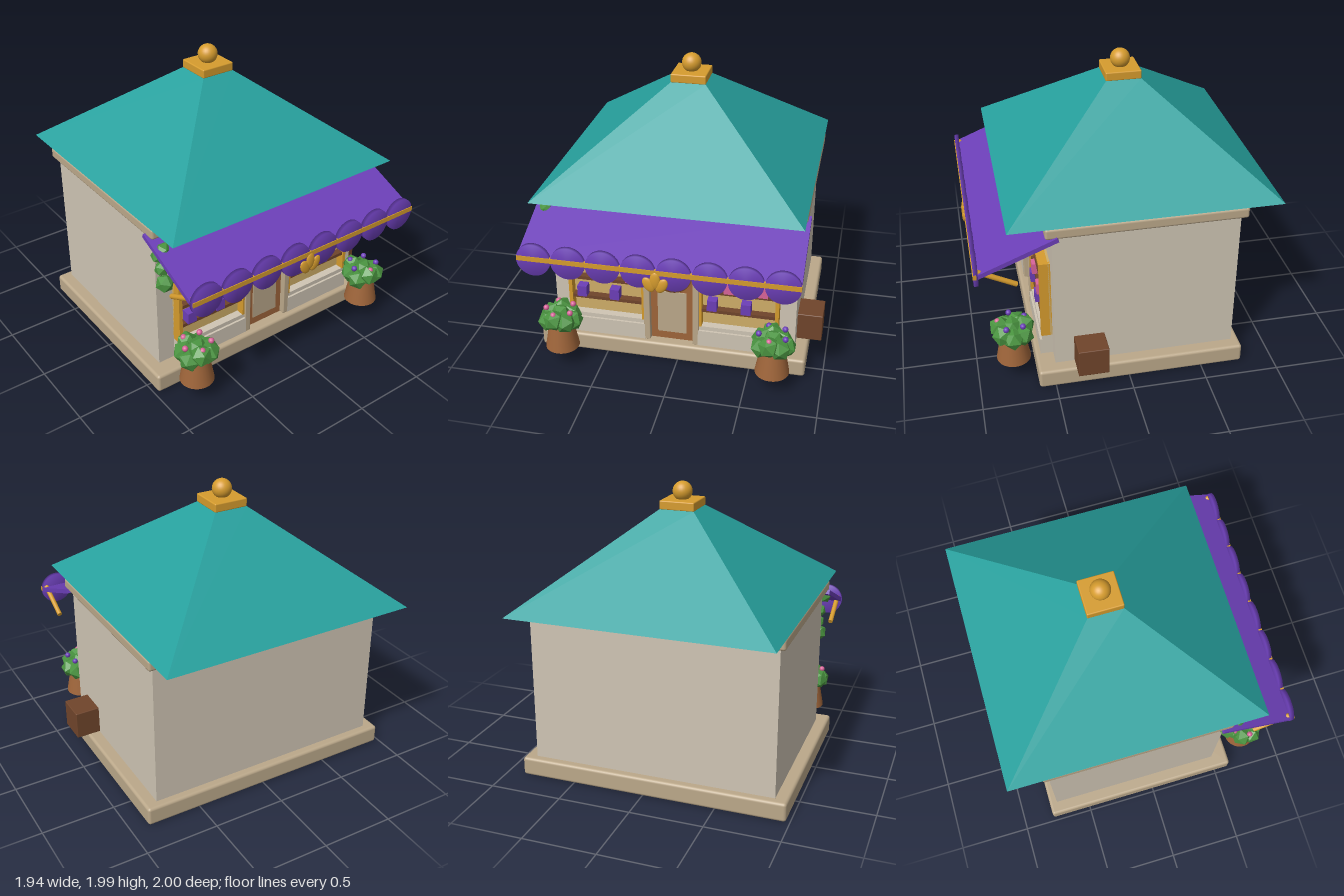
import * as THREE from 'three';
import { RoundedBoxGeometry } from 'three/addons/geometries/RoundedBoxGeometry.js';
import { mergeVertices } from 'three/addons/utils/BufferGeometryUtils.js';

const mat = (name, color) => {
  const m = new THREE.MeshStandardMaterial({ color });
  m.name = name;
  return m;
};

export function createModel() {
  const M = {
    teal: mat('teal roof', 0x26a09d),
    purple: mat('purple cloth', 0x6c3fb8),
    gold: mat('gold', 0xd69c2e),
    stone: mat('stone trim', 0xbba88a),
    wall: mat('plaster', 0xcfc5b4),
    wood: mat('warm wood', 0x9f653a),
    darkWood: mat('dark wood', 0x70452b),
    panel: mat('display backing', 0xd0ae68),
    leaf: mat('leaf green', 0x4a9440),
    pink: mat('pink', 0xd9649a),
  };
  const shop = new THREE.Group();
  shop.name = 'shop';
  const CX = -0.047; // centre line of the building

  const add = (name, geo, material, x, y, z, parent = shop) => {
    const mesh = new THREE.Mesh(geo, material);
    mesh.name = name;
    mesh.position.set(x, y, z);
    parent.add(mesh);
    return mesh;
  };
  // box given by its limits on each axis, with optional rounded edges
  const box = (name, material, [x0, x1], [y0, y1], [z0, z1], r = 0) => {
    const s = [x1 - x0, y1 - y0, z1 - z0];
    const geo = r ? new RoundedBoxGeometry(...s, 3, r) : new THREE.BoxGeometry(...s);
    return add(name, geo, material, (x0 + x1) / 2, (y0 + y1) / 2, (z0 + z1) / 2);
  };
  // disc facing +z with softly shaded rim
  const disc = (r, depth) => {
    const g = new THREE.CylinderGeometry(r, r, depth, 40).rotateX(Math.PI / 2);
    g.deleteAttribute('normal');
    g.deleteAttribute('uv');
    const m = mergeVertices(g);
    m.computeVertexNormals();
    return m;
  };

  // Building body
  box('base', M.stone, [-0.975, 0.88], [0, 0.13], [-0.785, 0.61], 0.02);
  box('walls', M.wall, [-0.89, 0.795], [0.13, 1.15], [-0.73, 0.49]);
  box('cornice', M.stone, [-0.93, 0.837], [1.14, 1.217], [-0.77, 0.535], 0.018);

  // Roof: four-sided truncated pyramid with cap and ball
  const roof = new THREE.CylinderGeometry(0.118 * Math.SQRT2, 0.884 * Math.SQRT2, 0.595, 4)
    .rotateY(Math.PI / 4).toNonIndexed();
  roof.computeVertexNormals();
  add('roof', roof, M.teal, CX, 1.515, -0.117);
  box('roofCap', M.gold, [CX - 0.12, CX + 0.12], [1.81, 1.87], [-0.237, 0.003], 0.008);
  add('roofBall', new THREE.SphereGeometry(0.066, 28, 18), M.gold, CX, 1.92, -0.117);

  // Awning with scalloped edge, gold band and rods
  const awning = add('awning', new THREE.BoxGeometry(1.8, 0.03, 0.55), M.purple, CX, 1.042, 0.71);
  awning.rotation.x = 0.39;
  for (let i = 0; i < 8; i++) {
    add('scallop', disc(0.111, 0.028), M.purple, CX + (i - 3.5) * 0.226, 0.932, 0.969);
  }
  box('awningBand', M.gold, [-0.945, 0.855], [0.925, 0.958], [0.965, 0.988]);
  for (const x of [CX - 0.87, CX + 0.87]) {
    const rod = add('awningRod', new THREE.CylinderGeometry(0.017, 0.017, 0.27, 12), M.gold, x, 0.898, 0.838);
    rod.rotation.x = Math.PI / 2 - 0.48;
  }

  // Leaf emblem on the awning edge
  const emblem = new THREE.Group();
  emblem.name = 'emblem';
  emblem.position.set(CX, 0.865, 0.985);
  shop.add(emblem);
  for (const [x, y, ry, tilt] of [[0, 0.02, 0.06, 0], [-0.042, -0.012, 0.055, 0.5], [0.042, -0.012, 0.055, -0.5]]) {
    const petal = add('petal', new THREE.SphereGeometry(1, 20, 14), M.gold, x, y, 0, emblem);
    petal.scale.set(0.034, ry, 0.014);
    petal.rotation.z = tilt;
  }

  // Display windows, the same on each side of the door
  for (const [x0, x1] of [[-0.77, -0.23], [0.137, 0.685]]) {
    box('windowPlinth', M.wall, [x0, x1], [0.13, 0.25], [0.48, 0.575]);
    box('windowSill', M.wall, [x0, x1], [0.25, 0.28], [0.48, 0.56]);
    box('windowBacking', M.panel, [x0, x1], [0.28, 0.86], [0.48, 0.505]);
    for (const x of [x0, x1 - 0.025]) {
      box('windowSideFrame', M.gold, [x, x + 0.025], [0.28, 0.86], [0.49, 0.565]);
    }
    box('windowTopFrame', M.gold, [x0, x1], [0.835, 0.86], [0.49, 0.565]);
    for (const y of [0.71, 0.558, 0.408]) {
      box('shelf', M.darkWood, [x0 + 0.025, x1 - 0.025], [y - 0.012, y + 0.012], [0.49, 0.555]);
    }
    for (const [material, y, dx] of [[M.pink, 0.57, 0.175], [M.pink, 0.57, 0.405],
      [M.purple, 0.42, 0.063], [M.purple, 0.42, 0.293]]) {
      box('displayItem', material, [x0 + dx, x0 + dx + 0.066], [y, y + 0.08], [0.51, 0.574]);
    }
  }

  // Door with round top, inset panel, posts and arch
  box('door', M.wood, [CX - 0.15, CX + 0.15], [0.13, 0.66], [0.48, 0.535]);
  add('doorTop', disc(0.142, 0.07), M.wood, CX, 0.66, 0.515);
  box('doorPanel', M.stone, [CX - 0.1, CX + 0.1], [0.19, 0.515], [0.535, 0.543]);
  for (const s of [-1, 1]) {
    const x = CX + s * 0.17;
    box('doorPost', M.stone, [x - 0.022, x + 0.022], [0.13, 0.66], [0.48, 0.575], 0.006);
  }
  add('doorArch', new THREE.TorusGeometry(0.172, 0.023, 12, 32, Math.PI), M.gold, CX, 0.645, 0.55);

  // Potted shrubs, floating level with the base top
  const shrub = (x, blooms) => {
    const plant = new THREE.Group();
    plant.name = 'pottedPlant';
    plant.position.set(x, 0.135, 0.755);
    shop.add(plant);
    add('pot', new THREE.CylinderGeometry(0.08, 0.115, 0.19, 28), M.wood, 0, 0.095, 0, plant);
    const ball = new THREE.IcosahedronGeometry(0.075, 0);
    for (let i = 0; i < 7; i++) {
      const a = i * Math.PI * 2 / 7;
      const clump = add('foliage', ball, M.leaf, Math.cos(a) * 0.082, 0.21 + (i % 3) * 0.018, Math.sin(a) * 0.082, plant);
      clump.rotation.set(i, i * 1.7, 0);
    }
    add('foliage', ball, M.leaf, 0, 0.245, 0, plant);
    blooms.forEach((material, i) => {
      const a = 0.5 + i * Math.PI * 2 / blooms.length;
      add('flower', new THREE.SphereGeometry(0.02, 12, 8), material,
        Math.cos(a) * 0.095, 0.295, Math.sin(a) * 0.095, plant);
    });
  };
  shrub(-0.77, [M.pink, M.pink, M.pink, M.pink, M.pink]);
  shrub(0.675, [M.purple, M.pink, M.purple, M.purple, M.purple]);

  // Climbing vine at the right front corner
  [[-0.885, 1.08, 0.58, 0.055], [-0.87, 0.99, 0.5, 0.05],
    [-0.86, 0.9, 0.52, 0.05], [-0.86, 0.805, 0.55, 0.062]].forEach(([x, y, z, r], i) => {
    add('vine', new THREE.IcosahedronGeometry(r, 0), M.leaf, x, y, z).rotation.set(i * 0.8, i, 0);
  });

  // Crate against the left wall
  box('crate', M.darkWood, [0.768, 0.967], [0.135, 0.335], [0.158, 0.362], 0.006);

  return shop;
}
